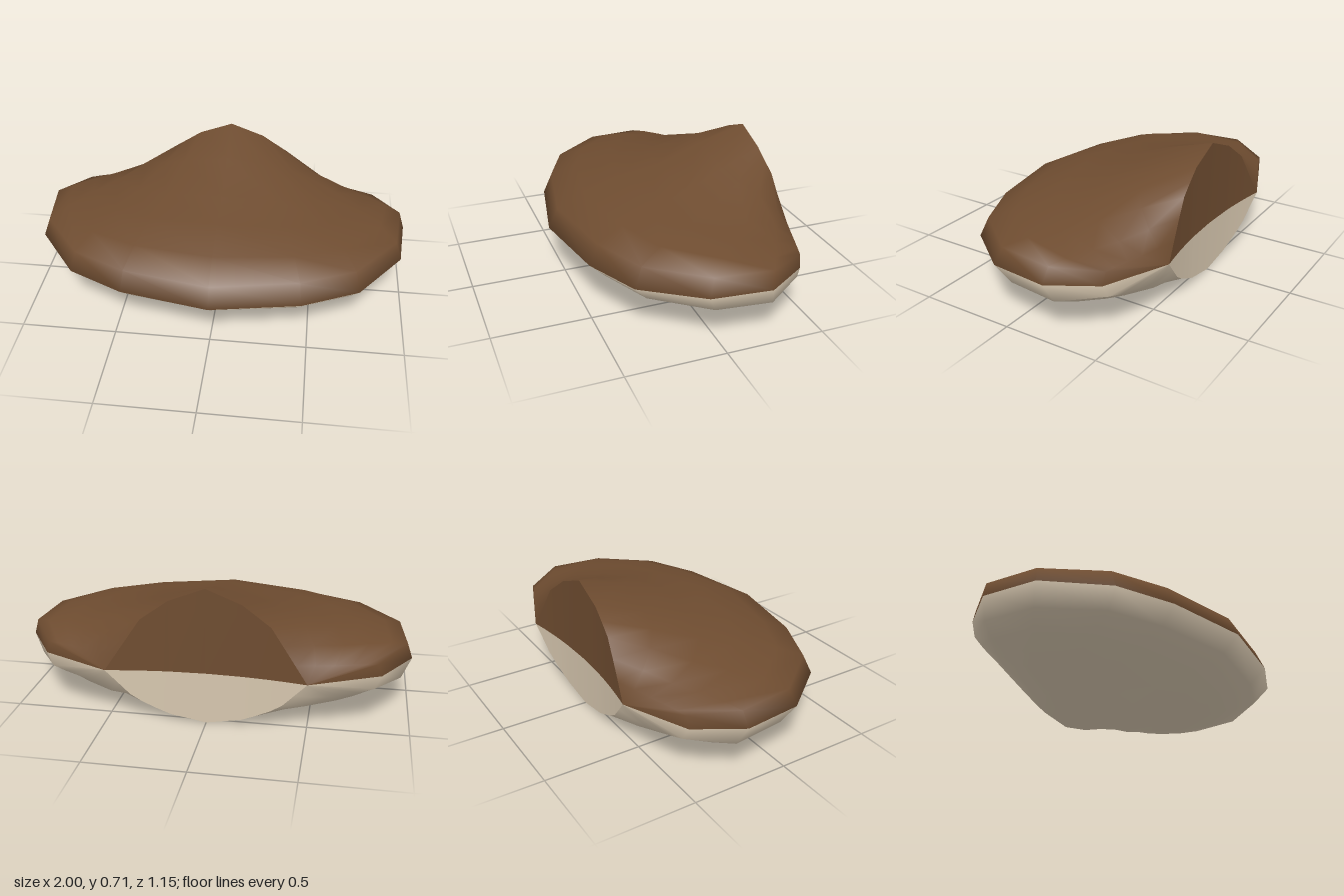
import * as THREE from 'three';

const brown = new THREE.MeshStandardMaterial({ color: 0x6e4c30 });
brown.name = 'shell brown';
const cream = new THREE.MeshStandardMaterial({ color: 0xd6c6ae });
cream.name = 'belly cream';

// Half sections run from the left rear corner to the middle
const rim = [[0.5, -0.58], [0.85, -0.44], [1, -0.22], [0.97, 0.08], [0.75, 0.36], [0.46, 0.49], [0, 0.575]];
const seamY = [0.27, 0.28, 0.29, 0.29, 0.275, 0.27, 0.27];
const archX = [0.5, 0.44, 0.38, 0.32, 0.25, 0.18, 0];
const upper = {
  arch: [0.27, 0.36, 0.45, 0.54, 0.59, 0.64, 0.71],
  edge: [0.27, 0.345, 0.375, 0.378, 0.375, 0.375, 0.375],
  // [distance from rear arch to rim, share of the arch height]
  profile: [[0, 1], [0.23, 0.78], [0.455, 0.51], [0.645, 0.39], [0.825, 0.22], [0.955, 0]],
  sag: 0,
};
const lower = {
  arch: [0.27, 0.205, 0.14, 0.1, 0.065, 0.035, 0],
  edge: [0.27, 0.22, 0.2, 0.2, 0.195, 0.19, 0.19],
  profile: [[0, 1], [0.19, 1], [0.41, 0.68], [0.55, 0.5], [0.75, 0.24], [0.92, 0]],
  sag: 0.04,
};
const sagWeight = [0, 0.6, 1, 1, 0.7, 0.4, 0];
const archZ = (x) => -0.535 - 0.18 * x * x;

// Mirrors a half row across the middle
function mirrorRow(half) {
  return [...half, ...half.slice(0, -1).reverse().map(([x, y, z]) => [-x, y, z])];
}

// Skins rows of points; rows before split are brown, the rest cream
function skin(rows, split, flip) {
  const n = rows[0].length;
  const index = [];
  for (let r = 0; r < rows.length - 1; r++) {
    for (let i = 0; i < n - 1; i++) {
      const a = r * n + i, b = a + 1, c = a + n, d = c + 1;
      index.push(...(flip ? [a, c, b, b, c, d] : [a, b, c, b, d, c]));
    }
  }
  const geometry = new THREE.BufferGeometry();
  geometry.setAttribute('position', new THREE.Float32BufferAttribute(rows.flat(2), 3));
  geometry.setIndex(index);
  const cut = split * (n - 1) * 6;
  geometry.addGroup(0, cut, 0);
  geometry.addGroup(cut, index.length - cut, 1);
  geometry.computeVertexNormals();
  return new THREE.Mesh(geometry, [brown, cream]);
}

// One row of the body at a given distance from the rear arch
function bodyRow(side, [t, share]) {
  return mirrorRow(rim.map(([rx, rz], i) => [
    THREE.MathUtils.lerp(archX[i], rx, t),
    THREE.MathUtils.lerp(side.edge[i], side.arch[i], share) - side.sag * sagWeight[i] * Math.sin(Math.PI * t),
    THREE.MathUtils.lerp(archZ(archX[i]), rz, t),
  ]));
}

export function createModel() {
  const group = new THREE.Group();
  group.name = 'shellBody';

  // Body: brown back and cream belly meeting at the rim
  const top = upper.profile.map((p) => bodyRow(upper, p));
  const seam = mirrorRow(rim.map(([x, z], i) => [x, seamY[i], z]));
  const bottom = lower.profile.map((p) => bodyRow(lower, p)).reverse();
  const body = skin([...top, seam, ...bottom], top.length, false);
  body.name = 'body';
  group.add(body);

  // Hollow-curved rear face closing the arch
  const rearRow = (ys) => mirrorRow(archX.map((x, i) => [x, ys[i], archZ(x)]));
  const rear = skin([rearRow(upper.arch), rearRow(archX.map(() => 0.27)), rearRow(lower.arch)], 1, true);
  rear.name = 'rearFace';
  group.add(rear);

  return group;
}
